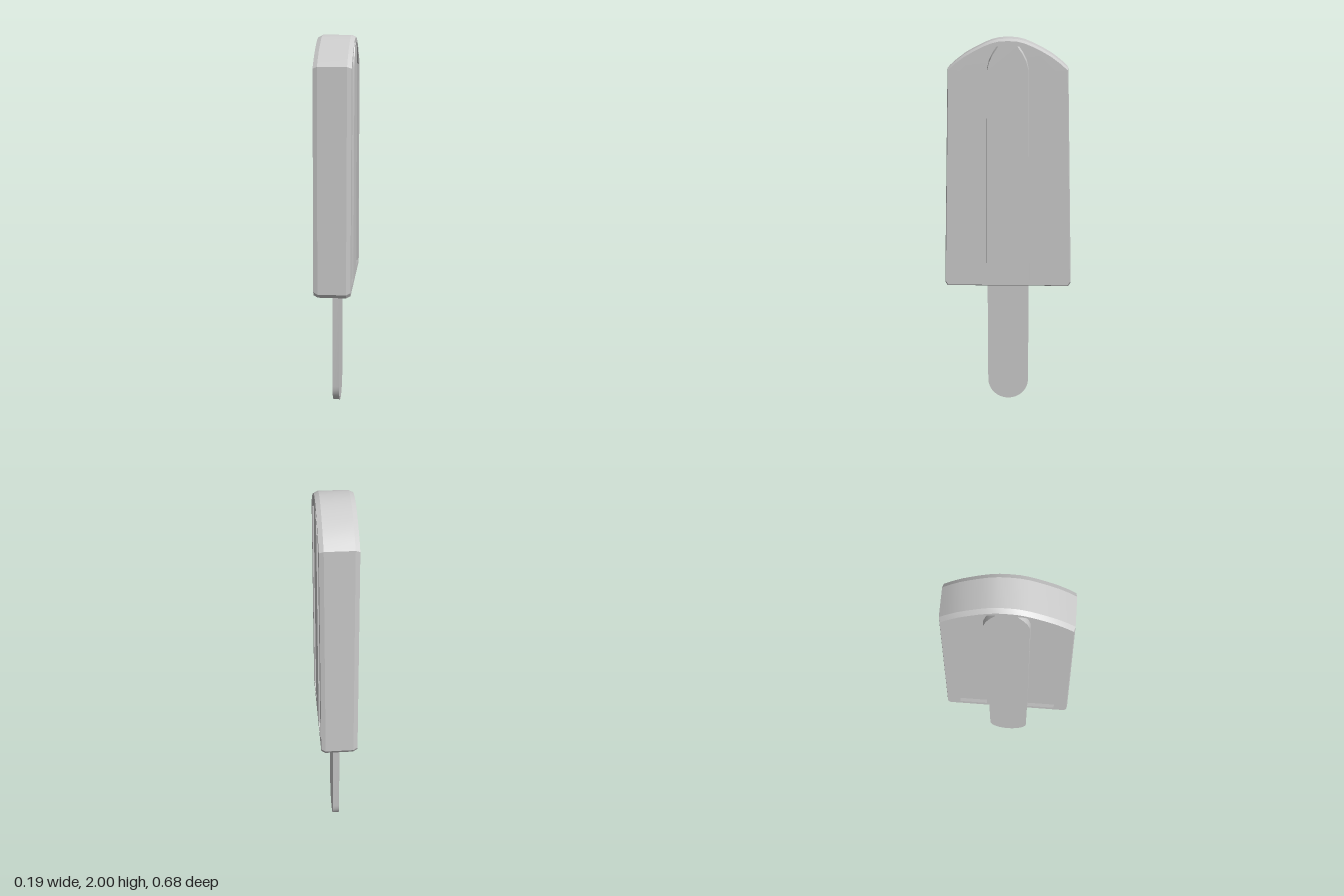
import * as THREE from 'three';
import { toCreasedNormals } from 'three/addons/utils/BufferGeometryUtils.js';

const CORE = 0.073;   // half thickness up to the groove floors
const FACE = 0.022;   // thickness of the grooved face layers

// Right half of a closed profile, mirrored to the left
const mirrored = (half) => [...half, ...half.filter(([u]) => u > 0).reverse().map(([u, y]) => [-u, y])];
const vectors = (pts) => pts.map(([u, y]) => new THREE.Vector2(u, y));

const bodyOutline = mirrored([
  [0.325, 0.695], [0.338, 0.715], [0.304, 1.855], [0.265, 1.889], [0.22, 1.922],
  [0.172, 1.949], [0.125, 1.972], [0.085, 1.988], [0.045, 1.998], [0, 2.0],
]);

const groove = [
  [0.115, 0.725], [0.267, 0.725], [0.242, 1.85], [0.192, 1.902], [0.14, 1.948],
  [0.1, 1.968], [0.075, 1.974], [0.048, 1.974], [0.075, 1.935], [0.095, 1.895], [0.106, 1.85],
];

function extrude(shape, depth, curveSegments = 12) {
  return new THREE.ExtrudeGeometry(shape, { depth, bevelEnabled: false, curveSegments });
}

export function createModel() {
  const group = new THREE.Group();
  const material = new THREE.MeshStandardMaterial({ color: 0xcccccc });

  // Adds a profile part, turned so that its depth runs along x
  function add(name, geometry, turn = Math.PI / 2) {
    geometry.rotateY(turn);
    const mesh = new THREE.Mesh(toCreasedNormals(geometry, Math.PI / 7), material);
    mesh.name = name;
    group.add(mesh);
  }

  // Ice body, its flat sides forming the groove floors
  const core = extrude(new THREE.Shape(vectors(bodyOutline)), 2 * CORE);
  core.translate(0, 0, -CORE);
  add('iceBody', core);

  // Face layers with two grooves each, tapered outwards to chamfer the rim
  for (const side of [1, -1]) {
    const shape = new THREE.Shape(vectors(bodyOutline));
    for (const s of [1, -1]) {
      shape.holes.push(new THREE.Path(vectors(groove.map(([u, y]) => [s * u, y]))));
    }
    const layer = extrude(shape, FACE);
    const pos = layer.attributes.position;
    for (let i = 0; i < pos.count; i++) {
      if (pos.getZ(i) < FACE / 2) continue;
      pos.setX(i, pos.getX(i) * 0.983);
      pos.setY(i, 1.35 + (pos.getY(i) - 1.35) * 0.983);
    }
    layer.translate(0, 0, CORE);
    layer.computeVertexNormals();
    add(side > 0 ? 'leftGroovedFace' : 'rightGroovedFace', layer, side * Math.PI / 2);
  }

  // Flat stick with a rounded lower end
  const stick = new THREE.Shape();
  stick.moveTo(0.112, 0.72);
  stick.lineTo(-0.112, 0.72);
  stick.lineTo(-0.112, 0.115);
  stick.absellipse(0, 0.115, 0.112, 0.115, Math.PI, 2 * Math.PI, false);
  stick.closePath();
  const stickGeometry = extrude(stick, 0.036, 8);
  stickGeometry.translate(0, 0, -0.018);
  add('stick', stickGeometry);

  return group;
}
